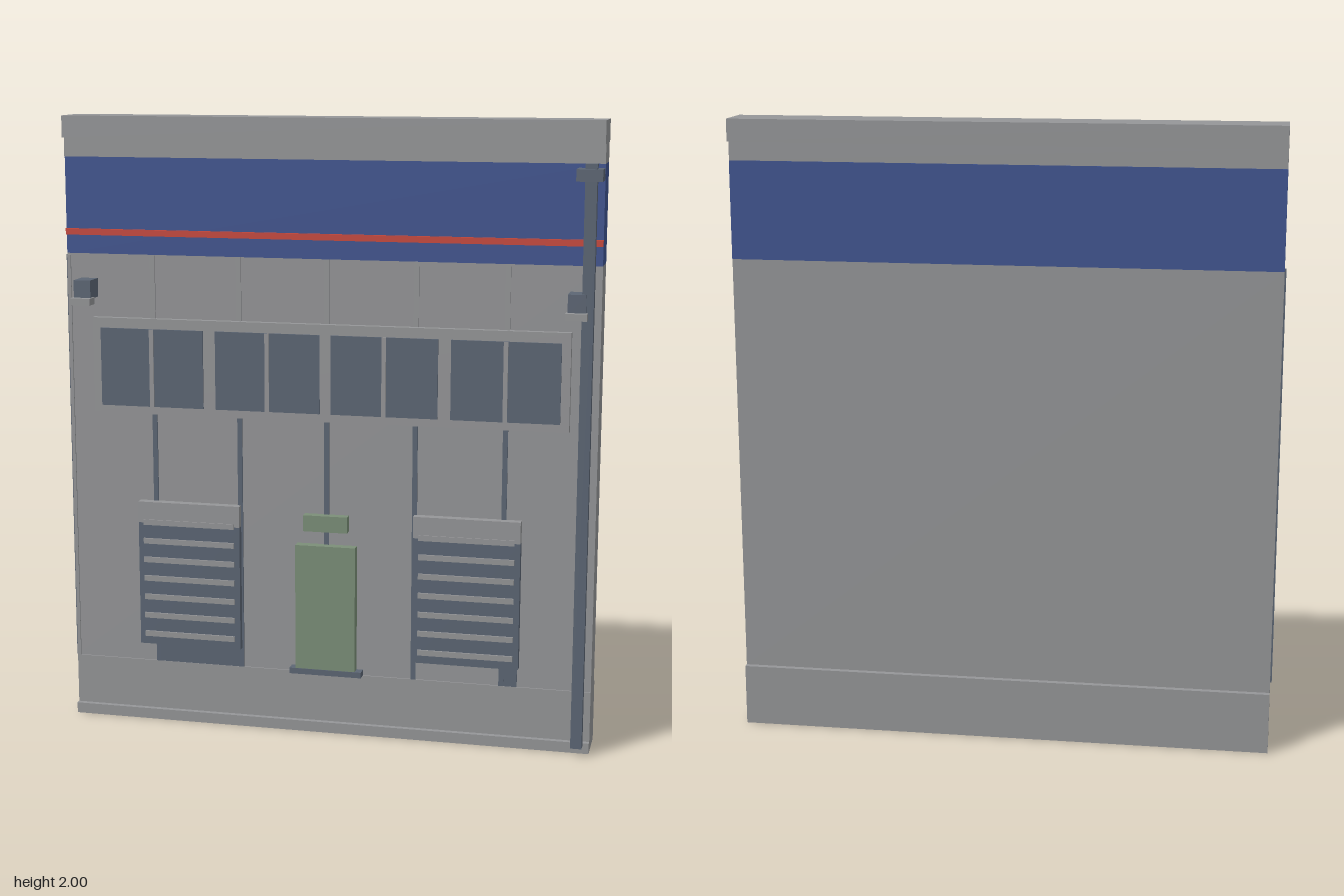
import * as THREE from 'three';

const mat = (name, color) => new THREE.MeshStandardMaterial({ name, color });

export function createModel() {
  const grey = mat('concrete grey', 0x959698);
  const slate = mat('slate', 0x5c6674);
  const blue = mat('band blue', 0x3f5490);
  const red = mat('stripe red', 0xc8483c);
  const green = mat('cabinet green', 0x7b8f78);

  const group = new THREE.Group();
  // Box given by its lower and upper bounds on each axis
  const box = (name, m, x0, x1, y0, y1, z0, z1) => {
    const mesh = new THREE.Mesh(new THREE.BoxGeometry(x1 - x0, y1 - y0, z1 - z0), m);
    mesh.name = name;
    mesh.position.set((x0 + x1) / 2, (y0 + y1) / 2, (z0 + z1) / 2);
    group.add(mesh);
    return mesh;
  };
  const W = 0.863;

  // Wall slab, plinth, painted band and cap
  box('wall', grey, -W, W, 0.2, 1.56, -0.09, 0.015);
  box('plinth', grey, -W, W, 0, 0.2, -0.108, 0.02);
  box('plinthFoot', grey, -W, W, 0, 0.035, 0.02, 0.037);
  box('band', blue, -W, W, 1.56, 1.87, -0.092, 0.018);
  box('bandStripe', red, -W, W, 1.62, 1.64, 0.018, 0.027);
  box('parapet', grey, -W, W, 1.87, 1.93, -0.09, 0.022);
  box('cap', grey, -W, W, 1.93, 2, -0.108, 0.04);
  box('edgeTrim', slate, -0.868, -W, 0.2, 1.555, 0, 0.012);
  box('edgeRib', grey, -W, -0.852, 0.2, 1.555, 0.015, 0.02);

  // Panel joints between the wall sheets
  for (const x of [-0.575, -0.288, 0, 0.288, 0.575]) {
    box('upperJoint', grey, x - 0.008, x + 0.008, 1.355, 1.56, 0.015, 0.02);
    box('lowerJoint', slate, x - 0.008, x + 0.008, 0.2, 1.042, 0.015, 0.02);
  }

  // Window strip with four panes, each split by a mullion
  box('windowFrame', grey, -0.775, 0.775, 1.042, 1.355, 0.015, 0.037);
  for (const x of [-0.575, -0.19, 0.19, 0.575]) {
    box('windowPane', slate, x - 0.172, x + 0.172, 1.068, 1.322, 0.037, 0.042);
    box('mullion', grey, x - 0.007, x + 0.007, 1.068, 1.322, 0.042, 0.046);
  }

  // Louvred vents
  for (const x of [-0.458, 0.46]) {
    box('ventHeader', grey, x - 0.172, x + 0.172, 0.68, 0.75, 0.015, 0.044);
    box('ventBody', slate, x - 0.172, x + 0.172, 0.265, 0.68, 0.015, 0.042);
    for (let i = 0; i < 7; i++) {
      const y = 0.301 + i * 0.0635;
      box('ventSlat', grey, x - 0.154, x + 0.154, y - 0.009, y + 0.009, 0.042, 0.048);
    }
  }
  box('leftVentApron', slate, -0.57, -0.285, 0.2, 0.265, 0.015, 0.019);
  box('rightVentApron', slate, 0.575, 0.626, 0.2, 0.265, 0.015, 0.019);

  // Service cabinet with a small junction box above
  box('cabinet', green, -0.098, 0.1, 0.21, 0.635, 0.015, 0.047);
  box('junctionBox', green, -0.072, 0.073, 0.682, 0.735, 0.015, 0.045);
  box('cabinetBase', slate, -0.118, 0.121, 0.2, 0.219, 0.015, 0.049);

  // Wall lamps
  for (const x of [-0.79, 0.794]) {
    box('lampHousing', slate, x - 0.028, x + 0.028, 1.42, 1.48, 0.015, 0.088);
    box('lampLens', grey, x - 0.033, x + 0.033, 1.402, 1.424, 0.065, 0.11);
  }

  // Drainpipe with clamp
  box('drainpipe', slate, 0.808, 0.844, 0.03, 1.872, 0.047, 0.079);
  box('pipeClamp', slate, 0.782, 0.862, 1.82, 1.857, 0.018, 0.09);

  return group;
}
